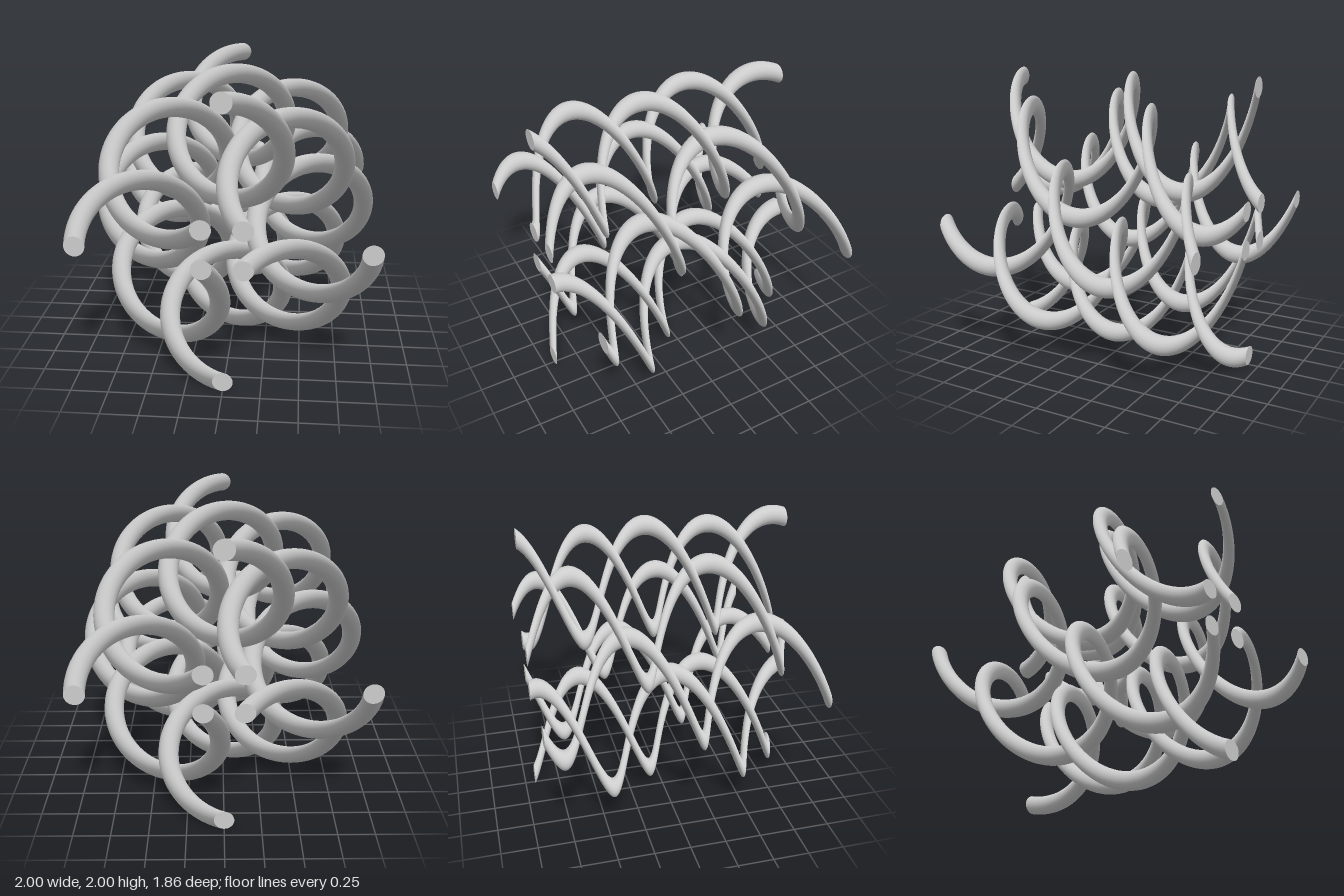
import * as THREE from 'three';

const HALF = 0.93;        // half depth along z
const TUBE = 0.068;       // radius of each coil's round slice
const COIL = 0.372;       // radius of the helix path
const RING = 0.56;        // distance of the helix axes from the centre
const TURNS = 2;

// A round rod whose slices stay flat in xy while they wind around the z axis.
// The normals stay those of the straight rod, so every slice is shaded radially.
function makeCoil(startAngle) {
  const geometry = new THREE.CylinderGeometry(TUBE, TUBE, 2 * HALF, 32, 160);
  geometry.rotateX(Math.PI / 2);
  const position = geometry.attributes.position;
  for (let i = 0; i < position.count; i++) {
    const turn = (HALF - position.getZ(i)) / (2 * HALF);
    const a = startAngle - turn * TURNS * 2 * Math.PI;
    position.setXY(i, position.getX(i) + COIL * Math.cos(a), position.getY(i) + COIL * Math.sin(a));
  }
  return geometry;
}

export function createModel() {
  const model = new THREE.Group();
  model.name = 'coilCluster';
  const grey = new THREE.MeshStandardMaterial({ color: 0xcccccc });
  grey.name = 'grey';

  // Eight coils around the centre; every second one starts half a turn later.
  for (let k = 0; k < 8; k++) {
    const angle = (k * Math.PI) / 4;
    const coil = new THREE.Mesh(makeCoil(angle + (k % 2) * Math.PI), grey);
    coil.name = `coil${k + 1}`;
    coil.position.set(RING * Math.cos(angle), 1 + RING * Math.sin(angle), 0);
    model.add(coil);
  }
  return model;
}
